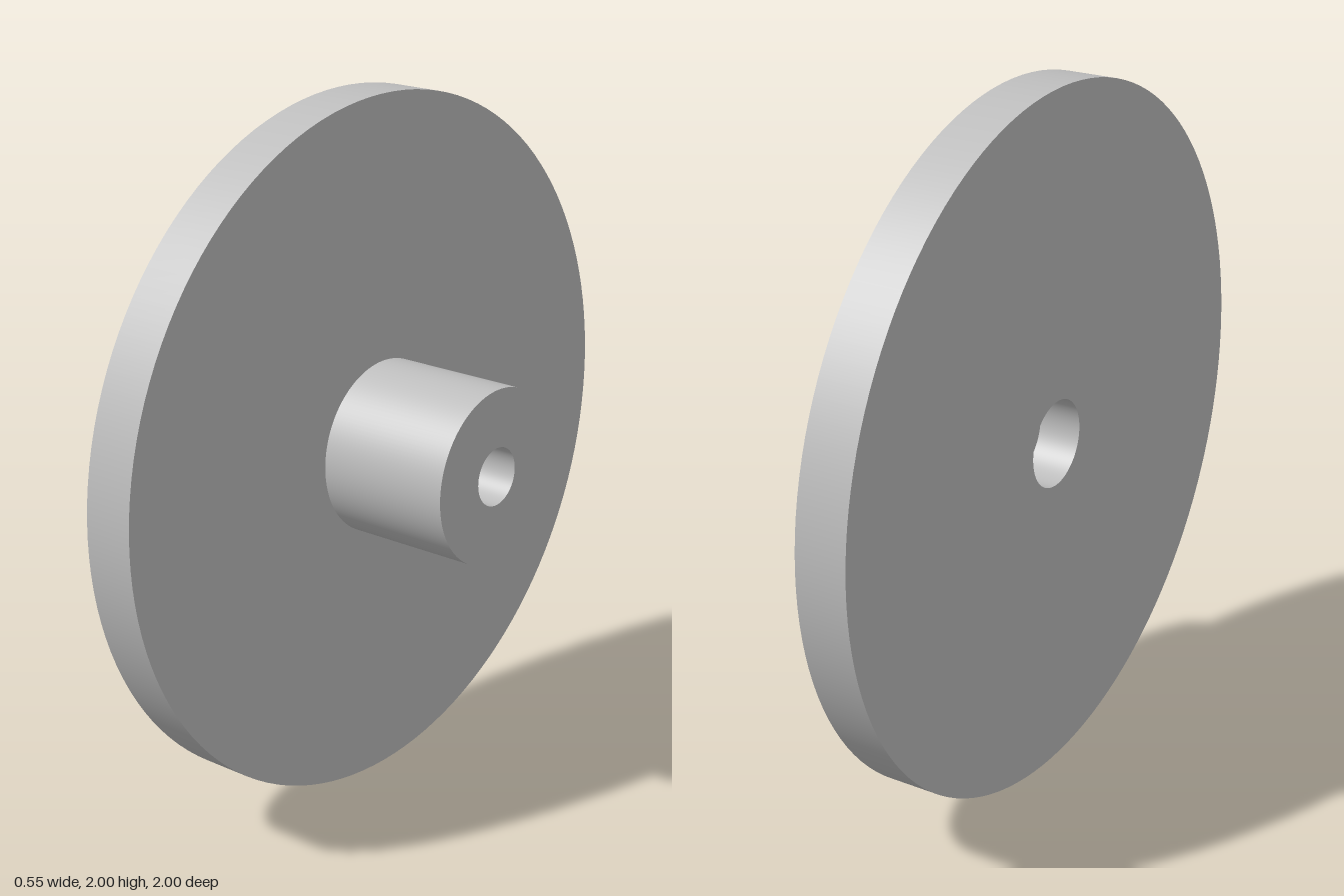
import * as THREE from 'three';
import { mergeGeometries } from 'three/addons/utils/BufferGeometryUtils.js';

// Revolve a [radius, x] profile about the x axis, one band per segment so rims stay sharp
function turned(profile, material, name) {
  const bands = [];
  for (let i = 0; i < profile.length - 1; i++) {
    const pair = [profile[i], profile[i + 1]].map(([r, x]) => new THREE.Vector2(r, x));
    bands.push(new THREE.LatheGeometry(pair, 128));
  }
  const geometry = mergeGeometries(bands);
  geometry.rotateZ(-Math.PI / 2);
  const mesh = new THREE.Mesh(geometry, material);
  mesh.name = name;
  return mesh;
}

export function createModel() {
  const group = new THREE.Group();
  group.name = 'flangedHub';
  const grey = new THREE.MeshStandardMaterial({ color: 0xbfbfbf });
  grey.name = 'grey';

  const back = -0.275, face = -0.125, end = 0.275; // x stations
  const hubR = 0.25, boreR = 0.083, counterR = 0.125, step = -0.15;

  // Wide flat disc
  const disc = turned([[counterR, back], [1, back], [1, face], [hubR, face]], grey, 'disc');
  // Projecting hub
  const hub = turned([[hubR, face], [hubR, end], [boreR, end]], grey, 'hub');
  // Through hole, widened by a counterbore at the back
  const bore = turned([[boreR, end], [boreR, step], [counterR, step], [counterR, back]], grey, 'bore');

  for (const part of [disc, hub, bore]) {
    part.position.y = 1;
    group.add(part);
  }
  return group;
}
